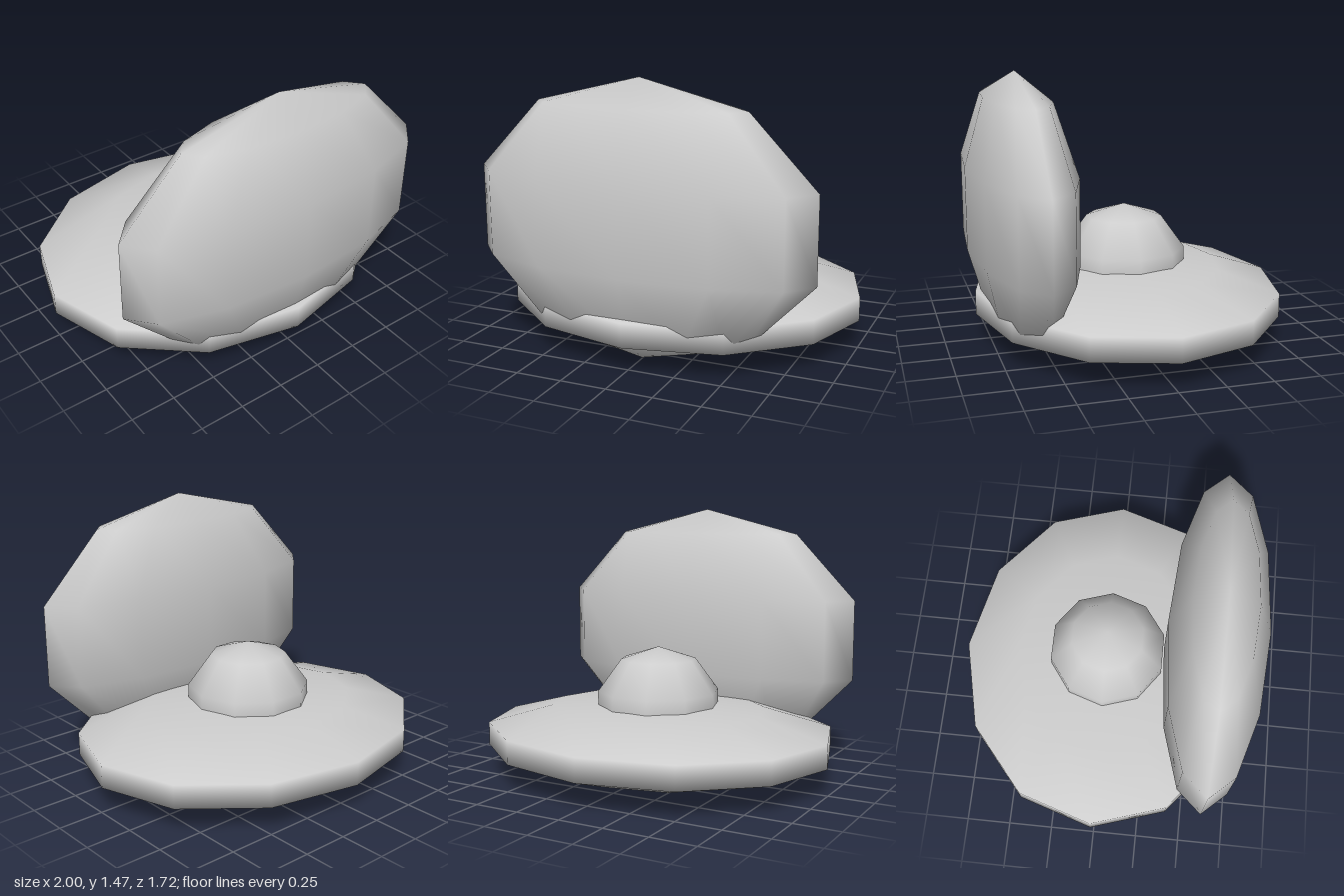
import * as THREE from 'three';

export function createModel() {
  const model = new THREE.Group();
  model.name = 'openShell';
  const grey = new THREE.MeshStandardMaterial({ color: 0xcccccc });
  grey.name = 'light grey';

  // Low-poly smooth ellipsoid with five bands from pole to pole
  function ellipsoid(name, sides, radii, centre) {
    const geometry = new THREE.SphereGeometry(1, sides, 5);
    geometry.scale(...radii);
    const mesh = new THREE.Mesh(geometry, grey);
    mesh.name = name;
    mesh.position.set(...centre);
    model.add(mesh);
  }

  // Flat lower shell, upright upper shell and the ball resting inside
  ellipsoid('lowerShell', 12, [1.051, 0.21, 0.887], [0, 0.212, -0.017]);
  ellipsoid('upperShell', 12, [0.973, 0.732, 0.29], [0, 0.739, 0.586]);
  ellipsoid('pearl', 10, [0.355, 0.355, 0.355], [0, 0.364, -0.015]);

  return model;
}
